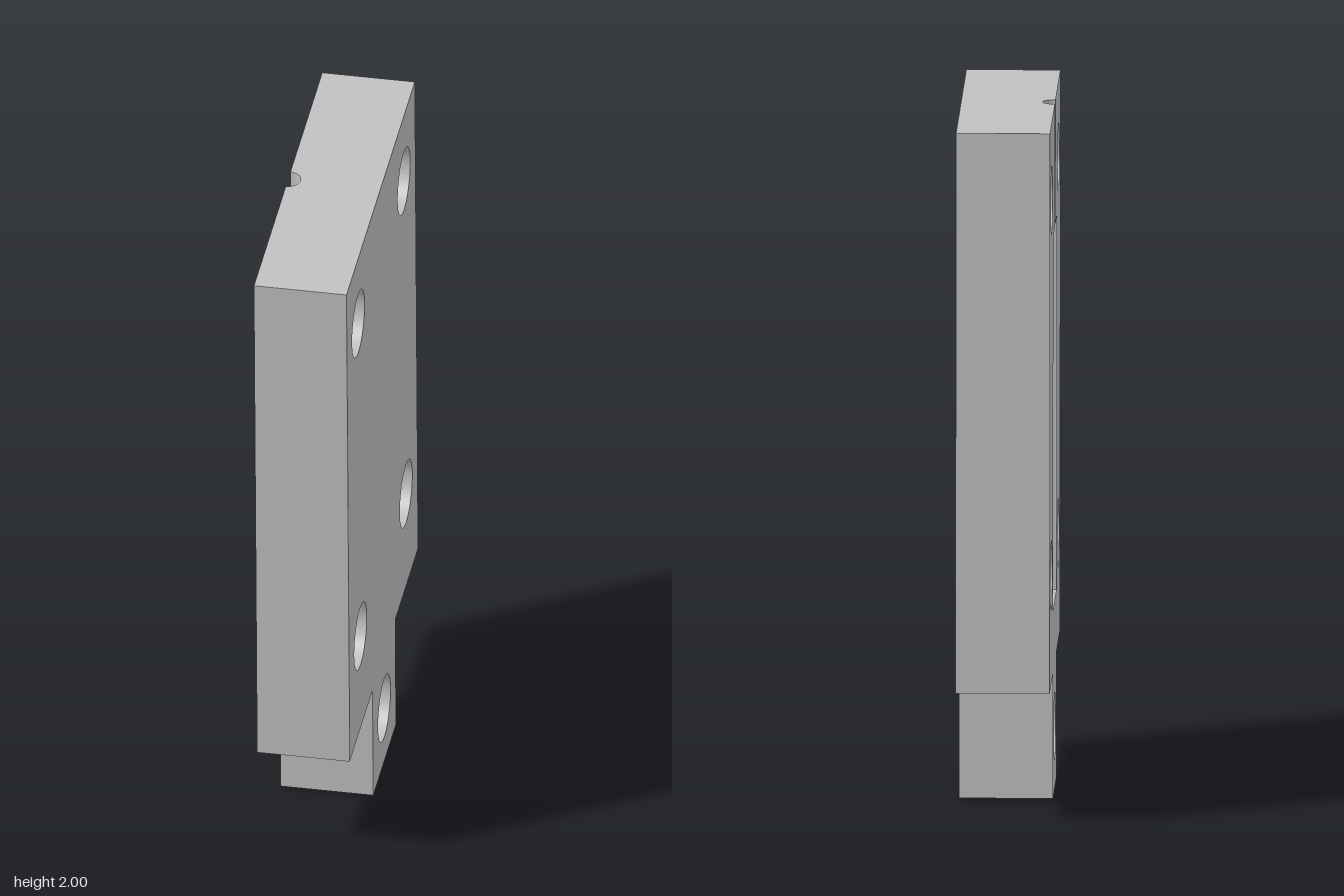
import * as THREE from 'three';

export function createModel() {
  const steel = new THREE.MeshStandardMaterial({ color: 0xc0c0c0, side: THREE.DoubleSide });

  // Plate, tab, recess and channel sizes (plate bottom edge is at y = 0)
  const W = 0.5375, H = 1.612, T = 0.267, TAB = 0.179, TAB_H = 0.362;
  const R = 0.19, G0 = 0.177, G1 = 1.256, r = 0.036;
  const F = T / 2;
  const holes = [
    [-0.359, 0.312], [0.359, 0.312], [-0.359, 1.391], [0.359, 1.391], [0, -0.183],
  ];
  const HOLE_R = 0.0985;

  const plate = new THREE.Group();
  plate.name = 'mountingPlate';
  const add = (name, geometry, x = 0, y = 0, z = 0) => {
    const mesh = new THREE.Mesh(geometry, steel);
    mesh.name = name;
    mesh.position.set(x, y, z);
    plate.add(mesh);
    return mesh;
  };

  // Outline from the top left corner, around the tab, to the top right corner
  const outline = [
    [-W, H], [-W, 0], [-TAB, 0], [-TAB, -TAB_H],
    [TAB, -TAB_H], [TAB, 0], [W, 0], [W, H],
  ];
  // Edge of the recess and its channel, where they open in the front face
  const recessEdge = [
    [r, H], [r, G1], [R, G1], [R, G0], [-R, G0], [-R, G1], [-r, G1], [-r, H],
  ];
  const faceShape = (points) => {
    const shape = new THREE.Shape(points.map(([x, y]) => new THREE.Vector2(x, y)));
    for (const [x, y] of holes) {
      shape.holes.push(new THREE.Path().absarc(x, y, HOLE_R, 0, Math.PI * 2, true));
    }
    return new THREE.ShapeGeometry(shape, 32);
  };

  // Front and back faces
  add('frontFace', faceShape([...outline, ...recessEdge]), 0, 0, F);
  const backFace = add('backFace', faceShape(outline), 0, 0, -F);
  backFace.rotation.y = Math.PI;

  // Side walls along the outline
  for (let i = 0; i < outline.length - 1; i++) {
    const [ax, ay] = outline[i], [bx, by] = outline[i + 1];
    const wall = new THREE.PlaneGeometry(Math.hypot(bx - ax, by - ay), T);
    wall.rotateX(Math.PI / 2);
    wall.rotateZ(Math.atan2(by - ay, bx - ax));
    add('sideWall', wall, (ax + bx) / 2, (ay + by) / 2, 0);
  }

  // Top face, notched by the channel
  const top = new THREE.Shape();
  top.moveTo(-W, -F);
  top.lineTo(W, -F);
  top.lineTo(W, F);
  top.lineTo(r, F);
  top.absarc(0, F, r, 0, -Math.PI, true);
  top.lineTo(-W, F);
  add('topFace', new THREE.ShapeGeometry(top, 24).rotateX(Math.PI / 2), 0, H, 0);

  // Bolt holes through the plate and the tab
  for (const [x, y] of holes) {
    const bore = new THREE.CylinderGeometry(HOLE_R, HOLE_R, T, 64, 1, true);
    add('boltHole', bore.rotateX(Math.PI / 2), x, y, 0);
  }

  // Half-round recess and the narrow channel running up to the top
  const trough = (name, radius, y0, y1) => add(name,
    new THREE.CylinderGeometry(radius, radius, y1 - y0, 48, 1, true, Math.PI / 2, Math.PI),
    0, (y0 + y1) / 2, F);
  trough('recess', R, G0, G1);
  trough('channel', r, G1, H);

  // Flat ends of the recess, the upper one opening into the channel
  const lowerEnd = new THREE.Shape().absarc(0, 0, R, Math.PI, Math.PI * 2, false);
  const upperEnd = new THREE.Shape().absarc(0, 0, R, Math.PI, Math.PI * 2, false);
  upperEnd.lineTo(r, 0);
  upperEnd.absarc(0, 0, r, 0, -Math.PI, true);
  add('recessLowerEnd', new THREE.ShapeGeometry(lowerEnd, 48).rotateX(Math.PI / 2), 0, G0, F);
  add('recessUpperEnd', new THREE.ShapeGeometry(upperEnd, 48).rotateX(Math.PI / 2), 0, G1, F);

  // Turned about the vertical and leaning slightly within its own plane
  plate.rotation.set(0, -Math.PI / 3, -0.0314);
  plate.position.set(-0.0125, 0.3735, -0.0217);

  const model = new THREE.Group();
  model.name = 'tabbedPlate';
  model.add(plate);
  return model;
}
